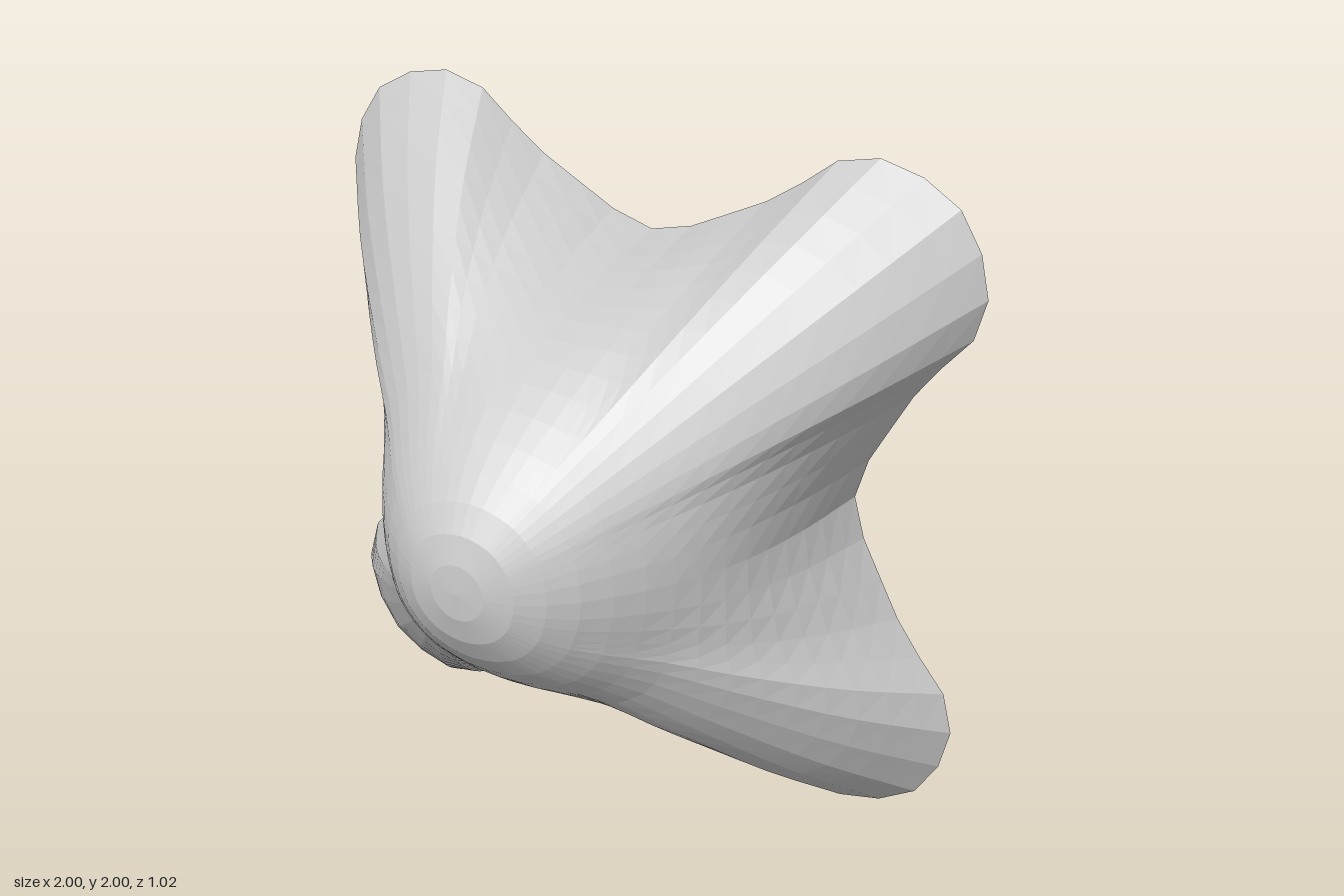
import * as THREE from 'three';

// Half of one lobe of the rim, from the valley (on the x axis) to the lobe tip (on the diagonal)
const RIM = [[0.66, 0], [0.685, 0.1], [0.735, 0.2], [0.845, 0.4], [0.93, 0.5],
  [0.985, 0.58], [1, 0.67], [0.97, 0.8], [0.905, 0.905]];

// Profile from apex to rim: radius in the valley, radius along the lobe ridge, depth
const PROFILE = [[0, 0, 0.51], [0.11, 0.11, 0.5], [0.2, 0.205, 0.46], [0.3, 0.31, 0.38],
  [0.37, 0.395, 0.3], [0.45, 0.5, 0.19], [0.55, 0.73, 0], [0.62, 1.02, -0.25], [0.66, 1.28, -0.51]];

// Directions around the shell: angle and how far it belongs to a lobe (0 valley, 1 tip)
function makeSpokes(steps) {
  const curve = new THREE.CatmullRomCurve3(RIM.map(([x, y]) => new THREE.Vector3(x, y, 0)));
  const half = curve.getSpacedPoints(steps).map((p) => ({
    angle: Math.atan2(p.y, p.x),
    lobe: (Math.hypot(p.x, p.y) - 0.66) / 0.62,
  }));
  const spokes = [];
  for (let quarter = 0; quarter < 4; quarter++) {
    const turn = quarter * Math.PI / 2;
    for (let i = 0; i < steps; i++) {
      spokes.push({ angle: turn + half[i].angle, lobe: half[i].lobe });
    }
    for (let i = steps; i > 0; i--) {
      spokes.push({ angle: turn + Math.PI / 2 - half[i].angle, lobe: half[i].lobe });
    }
  }
  return spokes;
}

// Open dome that spreads into four rounded lobes
function makeShell(steps, rings) {
  const spokes = makeSpokes(steps);
  const n = spokes.length;
  const profile = new THREE.CatmullRomCurve3(PROFILE.map((p) => new THREE.Vector3(...p)));
  const positions = [0, 0, PROFILE[0][2]];
  const index = [];
  for (let ring = 1; ring <= rings; ring++) {
    const { x: valley, y: ridge, z } = profile.getPointAt(ring / rings);
    for (const { angle, lobe } of spokes) {
      const r = valley + (ridge - valley) * lobe;
      positions.push(r * Math.cos(angle), r * Math.sin(angle), z);
    }
  }
  for (let i = 0; i < n; i++) {
    const next = (i + 1) % n;
    index.push(0, 1 + i, 1 + next);
    for (let ring = 0; ring < rings - 1; ring++) {
      const a = 1 + ring * n + i, b = 1 + ring * n + next;
      index.push(a, a + n, b + n, a, b + n, b);
    }
  }
  const geometry = new THREE.BufferGeometry();
  geometry.setAttribute('position', new THREE.Float32BufferAttribute(positions, 3));
  geometry.setIndex(index);
  geometry.computeVertexNormals();
  return geometry;
}

export function createModel() {
  const group = new THREE.Group();
  group.name = 'fourLobedShell';
  const material = new THREE.MeshStandardMaterial({
    color: 0xcccccc, flatShading: true, side: THREE.DoubleSide,
  });
  const shell = new THREE.Mesh(makeShell(8, 16), material);
  shell.name = 'shell';
  shell.position.y = 1;
  group.add(shell);
  return group;
}
